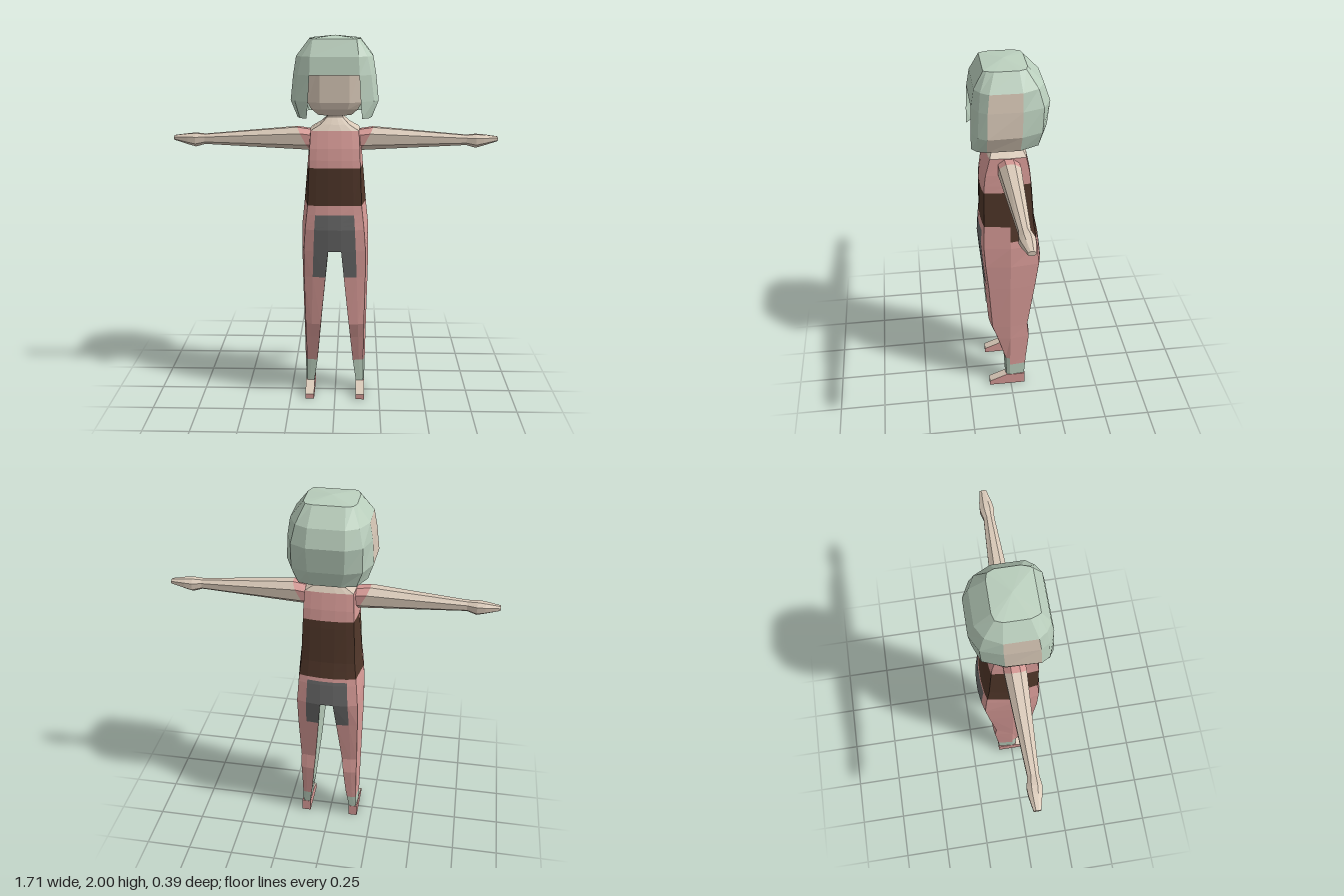
import * as THREE from 'three';

const mat = (name, color, side = THREE.FrontSide) => {
  const m = new THREE.MeshStandardMaterial({ color, side });
  m.name = name;
  return m;
};

// Joins rings of [x, y, z] points; paint(segment, face, midY) picks a material, or null for a hole.
function loft(name, rings, paint, { flip = false, capStart, capEnd } = {}) {
  const lists = new Map();
  const tri = (m, a, b, c) => {
    if (!lists.has(m)) lists.set(m, []);
    for (const p of flip ? [a, c, b] : [a, b, c]) lists.get(m).push(flip ? -p[0] : p[0], p[1], p[2]);
  };
  for (let i = 0; i < rings.length - 1; i++) {
    const lo = rings[i], hi = rings[i + 1], n = lo.length;
    for (let j = 0; j < n; j++) {
      const k = (j + 1) % n;
      const m = paint(i, j, (lo[j][1] + hi[j][1]) / 2);
      if (!m) continue;
      tri(m, lo[j], lo[k], hi[k]);
      tri(m, lo[j], hi[k], hi[j]);
    }
  }
  const cap = (ring, m, end, lift = 0) => {
    const c = [0, 1, 2].map(a => ring.reduce((s, p) => s + p[a], 0) / ring.length);
    c[1] += lift;
    ring.forEach((p, j) => {
      const q = ring[(j + 1) % ring.length];
      end ? tri(m, p, q, c) : tri(m, q, p, c);
    });
  };
  if (capStart) cap(rings[0], capStart, false);
  if (capEnd) cap(rings.at(-1), capEnd.m ?? capEnd, true, capEnd.lift ?? 0);

  const geo = new THREE.BufferGeometry(), pos = [], mats = [];
  for (const [m, list] of lists) {
    geo.addGroup(pos.length / 3, list.length / 3, mats.length);
    mats.push(m);
    for (const v of list) pos.push(v);
  }
  geo.setAttribute('position', new THREE.Float32BufferAttribute(pos, 3));
  geo.computeVertexNormals();
  const mesh = new THREE.Mesh(geo, mats.length > 1 ? mats : mats[0]);
  mesh.name = name;
  return mesh;
}

// Body outline by height: y, inner x, corner x, side x, front z, front corner z, back corner z, back z
const BODY = [
  [0.06, 0.12, 0.158, 0.165, 0.03, 0.025, -0.078, -0.08],
  [0.20, 0.10, 0.158, 0.168, 0.036, 0.03, -0.088, -0.095],
  [0.36, 0.085, 0.16, 0.171, 0.085, 0.075, -0.103, -0.111],
  [0.45, 0.077, 0.16, 0.173, 0.12, 0.105, -0.093, -0.101],
  [0.70, 0.052, 0.165, 0.179, 0.137, 0.12, -0.128, -0.14],
  [0.88, 0.035, 0.165, 0.181, 0.155, 0.138, -0.15, -0.175],
  [1.00, 0.035, 0.156, 0.179, 0.165, 0.145, -0.14, -0.16],
  [1.13, 0.035, 0.142, 0.165, 0.152, 0.14, -0.12, -0.135],
  [1.35, 0.035, 0.133, 0.146, 0.15, 0.138, -0.105, -0.117],
  [1.43, 0.035, 0.13, 0.14, 0.138, 0.128, -0.098, -0.107],
  [1.52, 0.035, 0.125, 0.13, 0.115, 0.105, -0.08, -0.088],
];

// Half outline at height y, running from the inner front round the side to the inner back
function halfRing(y) {
  let i = 0;
  while (i < BODY.length - 2 && y > BODY[i + 1][0]) i++;
  const a = BODY[i], b = BODY[i + 1], t = (y - a[0]) / (b[0] - a[0]);
  const [, inner, corner, side, zf, zfc, zbc, zb] = a.map((v, n) => v + (b[n] - v) * t);
  const mid = inner + (corner - inner) * 0.6;
  return [[inner, y, zf], [mid, y, zf * 0.6 + zfc * 0.4], [corner, y, zfc], [side, y, 0.005],
    [corner, y, zbc], [mid, y, zb * 0.6 + zbc * 0.4], [inner, y, zb]];
}
const mirrored = half => [...half, ...half.map(([x, y, z]) => [-x, y, z]).reverse()];
const between = (v, lo, hi) => v > lo && v < hi;

export function createModel() {
  const pink = mat('pink cloth', 0xd99c98);
  const skin = mat('skin', 0xd9c9b8, THREE.DoubleSide);
  const green = mat('pale green', 0xbacfbd, THREE.DoubleSide);
  const brown = mat('brown waistband', 0x51372a);
  const grey = mat('grey patch', 0x696969);
  const model = new THREE.Group();
  model.name = 'figure';

  // Torso with a waistband and patches
  const torsoFace = j => (j === 13 ? 0 : j <= 6 ? j : 12 - j);
  model.add(loft('torso',
    [0.88, 1, 1.02, 1.04, 1.08, 1.13, 1.33, 1.37, 1.43, 1.52].map(y => mirrored(halfRing(y))),
    (i, j, y) => {
      const k = torsoFace(j);
      if (k <= 2 ? between(y, 1.13, 1.34) : between(y, 1.04, 1.37)) return brown;
      if ((k === 0 && y < 1.08) || (k >= 5 && y < 1.02)) return grey;
      return pink;
    }, { capStart: grey }));

  // Shoulder slope and neck
  const neckRing = (y, sx, sz) => mirrored(halfRing(1.52)).map(([x, , z]) => [x * sx, y, 0.015 + (z - 0.015) * sz]);
  model.add(loft('neck',
    [neckRing(1.52, 1, 1), neckRing(1.55, 0.6, 0.82), neckRing(1.585, 0.32, 0.52), neckRing(1.68, 0.3, 0.48)],
    (i, j) => (i > 0 && torsoFace(j) >= 4 ? green : skin)));

  for (const flip of [false, true]) {
    const side = flip ? 'right' : 'left';

    // Leg with a green ankle and a differently coloured inner face
    const legRings = [0.06, 0.15, 0.2, 0.36, 0.45, 0.73, 0.88].map(y => {
      const half = halfRing(y);
      return [...half, [half[0][0], y, 0.005]];
    });
    model.add(loft(side + 'Leg', legRings, (i, j, y) => {
      if (j >= 6) {
        if (!flip) return green;
        return y < 0.45 || (j === 6 && y > 0.73) ? skin : green;
      }
      if (y < (j <= 2 ? 0.2 : 0.15)) return green;
      return (j === 0 || j === 5) && y > 0.73 ? grey : pink;
    }, { flip }));

    // Foot with a sloping instep
    const footRings = [[0, 0.125], [0.03, 0.125], [0.07, 0.03]].map(([y, z]) =>
      [[0.117, y, z], [0.166, y, z], [0.166, y, -0.082], [0.117, y, -0.082]]);
    model.add(loft(side + 'Foot', footRings, (i, j) => (i === 1 && j === 0 ? skin : pink),
      { flip, capStart: pink, capEnd: pink }));

    // Arm and hand: x, centre y, half height, centre z, half depth, slant
    const section = [[1, 0.4], [0.5, 1], [-0.5, 1], [-1, 0.4], [-1, -0.4], [-0.5, -1], [0.5, -1], [1, -0.4]];
    const armRings = [
      [0.10, 1.462, 0.05, 0.01, 0.055, 0],
      [0.168, 1.467, 0.06, 0.01, 0.055, 0.032],
      [0.69, 1.46, 0.026, 0.011, 0.028, 0],
      [0.74, 1.455, 0.035, 0.008, 0.037, 0],
      [0.78, 1.459, 0.028, 0.006, 0.033, 0],
      [0.855, 1.465, 0.012, 0.003, 0.018, 0],
    ].map(([x, y, hy, z, hz, slant]) => section.map(([v, w]) => [x + slant * v, y + hy * v, z + hz * w]));
    model.add(loft(side + 'Arm', armRings, i => (i === 0 ? pink : skin), { flip, capEnd: skin }));
  }

  // Face and jaw
  const headRings = [[1.6, 0.085, 0.11, 0.09], [1.635, 0.12, 0.148, 0.125], [1.67, 0.138, 0.158, 0.135],
    [1.86, 0.138, 0.155, 0.135]].map(([y, x, zf, zc]) =>
    mirrored([[x * 0.55, y, zf], [x, y, zc], [x, y, -0.08], [x * 0.6, y, -0.12]]));
  model.add(loft('head', headRings, () => skin, { capStart: skin }));

  // Bobbed hair, open at the face, with a skin-coloured panel on each side
  const hairRings = [
    [1.595, [0.14, 0.197], [0.175, 0.17], [0.19, 0.125], [0.19, -0.04], [0.145, -0.135], [0.07, -0.155]],
    [1.68, [0.133, 0.197], [0.2, 0.168], [0.224, 0.125], [0.218, -0.045], [0.175, -0.15], [0.09, -0.183]],
    [1.81, [0.125, 0.192], [0.185, 0.16], [0.21, 0.12], [0.21, -0.05], [0.175, -0.155], [0.095, -0.196]],
    [1.9, [0.122, 0.177], [0.165, 0.15], [0.195, 0.11], [0.195, -0.05], [0.155, -0.13], [0.09, -0.165]],
    [1.985, [0.11, 0.13], [0.118, 0.115], [0.13, 0.08], [0.13, -0.04], [0.115, -0.075], [0.08, -0.085]],
  ].map(([y, ...half]) => mirrored(half.map(([x, z]) => [x, y, z])));
  model.add(loft('hair', hairRings, (i, j) => {
    if (j === 11 && i < 2) return null;
    return (j === 2 || j === 8) && i < 3 ? skin : green;
  }, { capEnd: { m: green, lift: 0.015 } }));

  return model;
}
